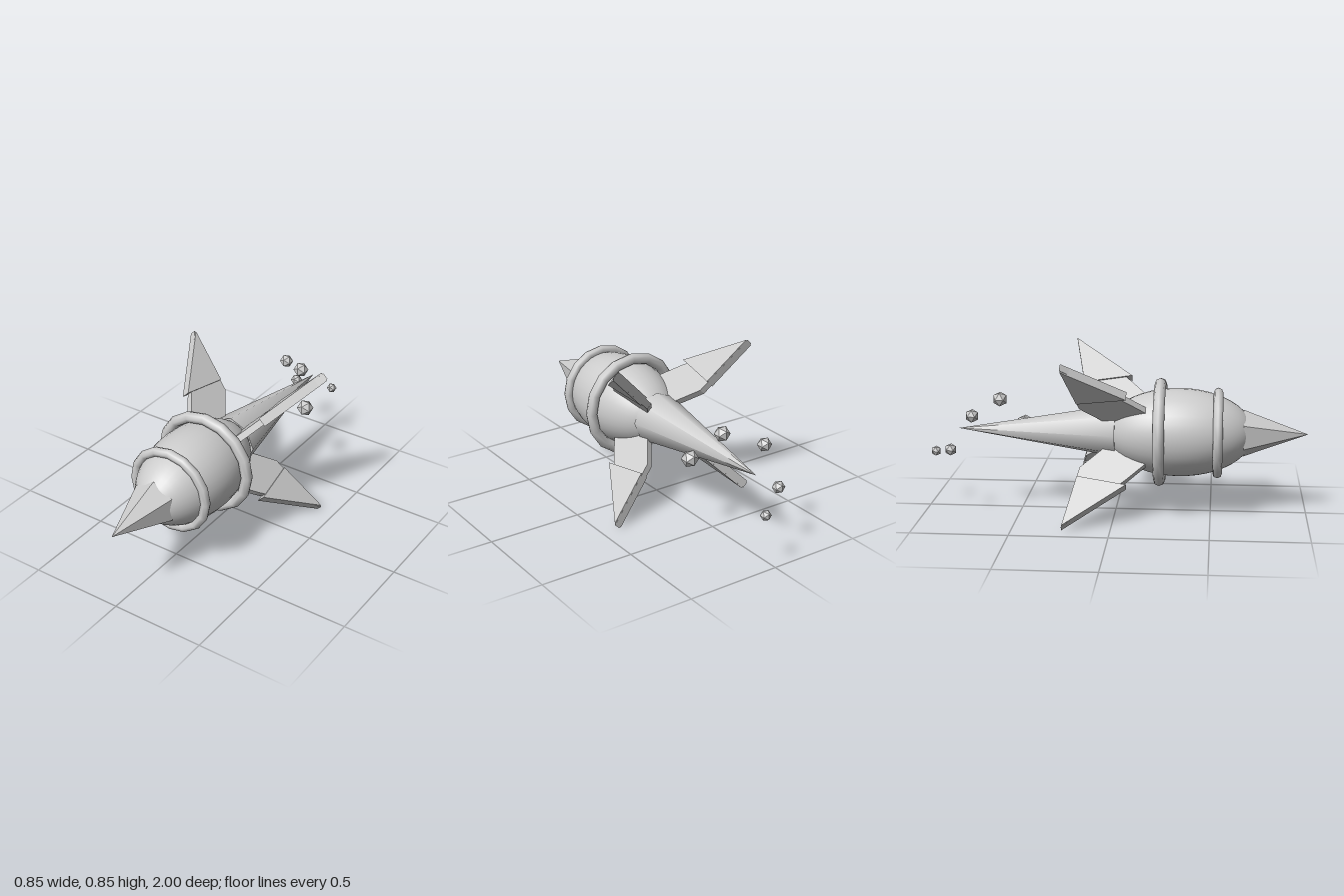
import * as THREE from 'three';

const AXIS_Y = 0.425;

export function createModel() {
  const model = new THREE.Group();
  const grey = new THREE.MeshStandardMaterial({ color: 0xcccccc });
  grey.name = 'light grey';

  const add = (name, geometry, parent = model) => {
    const mesh = new THREE.Mesh(geometry, grey);
    mesh.name = name;
    parent.add(mesh);
    return mesh;
  };

  // Everything but the debris sits around one long axis along z
  const rocket = new THREE.Group();
  rocket.name = 'rocket';
  rocket.position.y = AXIS_Y;
  model.add(rocket);

  // Egg-shaped hull
  const hull = new THREE.SphereGeometry(1, 32, 24).rotateX(Math.PI / 2).scale(0.231, 0.231, 0.39);
  add('hull', hull, rocket).position.z = 0.33;

  // Six-sided faceted nose
  const nose = new THREE.ConeGeometry(0.125, 0.335, 6).rotateX(Math.PI / 2).toNonIndexed();
  nose.computeVertexNormals();
  add('nose', nose, rocket).position.z = 0.8325;

  // Long tail spike
  const tail = new THREE.ConeGeometry(0.14, 0.835, 8).rotateX(-Math.PI / 2);
  add('tail', tail, rocket).position.z = -0.4175;

  // Hoops round the hull
  add('frontRing', new THREE.TorusGeometry(0.214, 0.025, 8, 16), rocket).position.z = 0.533;
  add('rearRing', new THREE.TorusGeometry(0.256, 0.03, 8, 16), rocket).position.z = 0.232;

  // Flat plate from [radius, z] corners, thickness centred across the fin
  const plate = (points, thickness) => {
    const shape = new THREE.Shape(points.map(([r, z]) => new THREE.Vector2(r, z)));
    return new THREE.ExtrudeGeometry(shape, { depth: thickness, bevelEnabled: false })
      .translate(0, 0, -thickness / 2)
      .rotateX(Math.PI / 2);
  };
  const blade = plate([
    [0.1, 0.12], [0.19, 0.18], [0.3, 0.07], [0.583, -0.245], [0.234, -0.174], [0.11, -0.05],
  ], 0.035);
  const tip = plate([[0.335, 0.07], [0.576, -0.243], [0.29, -0.185]], 0.05);

  // Four swept fins on the diagonals
  for (let i = 0; i < 4; i++) {
    const fin = new THREE.Group();
    fin.name = 'fin' + (i + 1);
    add('finBlade', blade, fin);
    add('finTip', tip, fin);
    fin.rotation.z = Math.PI / 4 + (i * Math.PI) / 2;
    rocket.add(fin);
  }

  // Sparks trailing behind: x, y, z, radius
  [
    [0.15, 0.425, -0.503, 0.045],
    [0.045, 0.575, -0.62, 0.041],
    [-0.122, 0.52, -0.74, 0.037],
    [-0.122, 0.338, -0.857, 0.033],
    [0.048, 0.285, -0.972, 0.028],
  ].forEach(([x, y, z, r], i) => {
    add('spark' + (i + 1), new THREE.IcosahedronGeometry(r, 0)).position.set(x, y, z);
  });

  return model;
}
